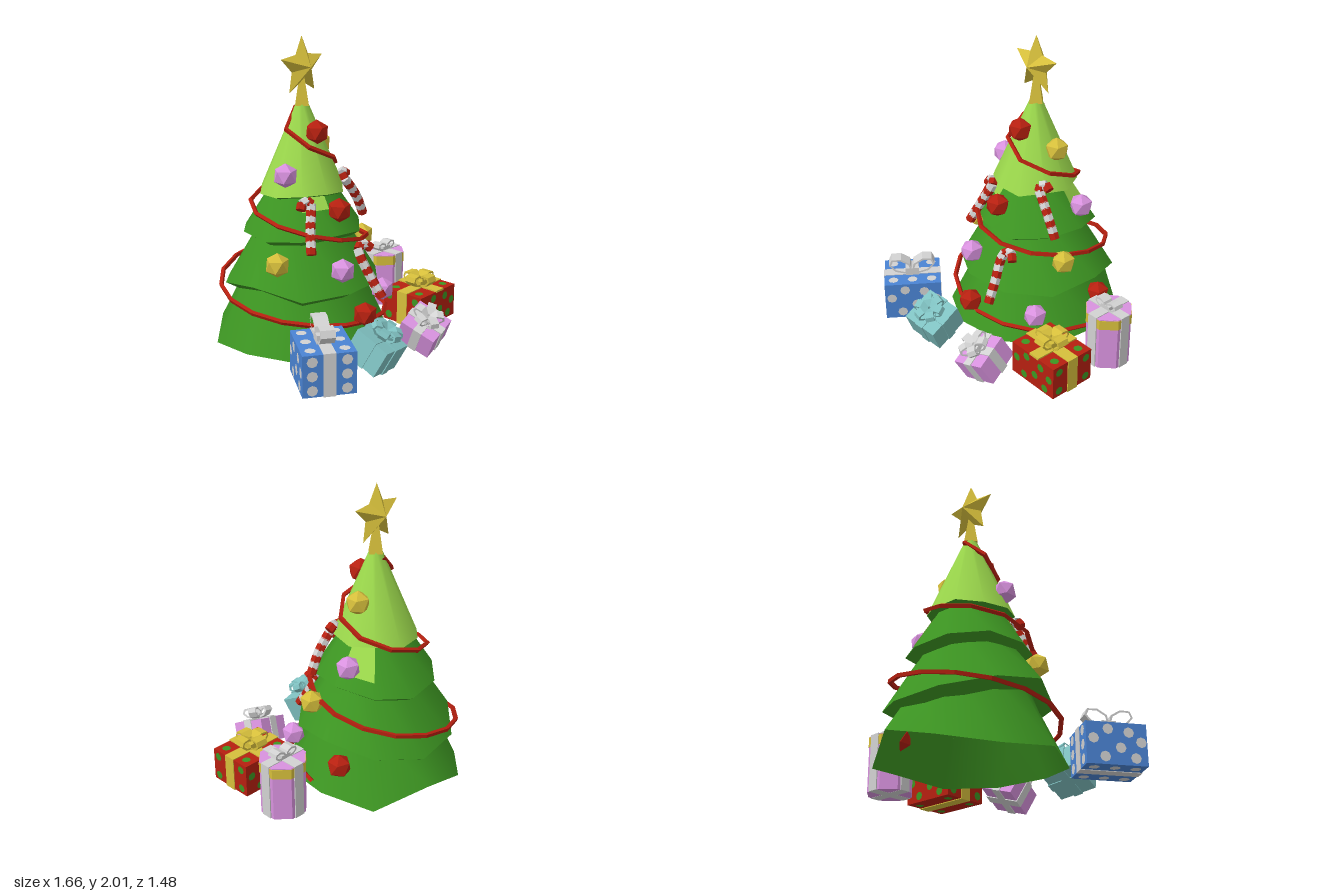
import * as THREE from 'three';
import { mergeVertices } from 'three/addons/utils/BufferGeometryUtils.js';

const V = (x, y, z) => new THREE.Vector3(x, y, z);
const mat = (name, color, opts = {}) => {
  const m = new THREE.MeshStandardMaterial({ color, ...opts });
  m.name = name;
  return m;
};

export function createModel() {
  const flat = { flatShading: true };
  const green = mat('green', 0x3d9622, { side: THREE.DoubleSide });
  const lime = mat('lightGreen', 0x9cd94c, { side: THREE.DoubleSide });
  const red = mat('red', 0xb62010, flat);
  const gold = mat('gold', 0xd5be3b, flat);
  const pink = mat('pink', 0xd892de, flat);
  const teal = mat('teal', 0x80c2c2, flat);
  const blue = mat('blue', 0x4a84d4, flat);
  const white = mat('paleGrey', 0xd2d2d2, flat);

  const model = new THREE.Group();
  const add = (parent, name, geo, material, x = 0, y = 0, z = 0) => {
    const m = new THREE.Mesh(geo, material);
    m.name = name;
    m.position.set(x, y, z);
    parent.add(m);
    return m;
  };
  const group = (name, x, y, z, rx = 0, ry = 0, rz = 0) => {
    const g = new THREE.Group();
    g.name = name;
    g.position.set(x, y, z);
    g.rotation.set(rx, ry, rz);
    model.add(g);
    return g;
  };
  const box = (w, h, d) => new THREE.BoxGeometry(w, h, d);

  // Tree: tiered ten-sided skirts; "jag" lists the rim height at each corner
  const tree = group('tree', -0.075, 0, -0.18);
  const skirt = (tier, profile, segs = 10, start = 0) => {
    const step = Math.PI / 5, spin = 0.19;
    const geo = new THREE.LatheGeometry(profile.map(p => new THREE.Vector2(...p)), segs, start * step - spin, segs * step);
    geo.deleteAttribute('uv');
    geo.deleteAttribute('normal');
    const p = geo.attributes.position;
    for (let i = 0; i < p.count; i++) {
      const x = p.getX(i), y = p.getY(i), z = p.getZ(i), a = Math.atan2(x, z);
      const w = Math.min(1, (tier.top[1] - y) / (tier.top[1] - tier.rim[1]));
      const k = 1 + 0.025 * w * Math.cos(a - tier.bulge);
      const corner = (Math.round((a + spin) / step) + 10) % 10;
      p.setXYZ(i, x * k, y + w * (tier.jag[corner] - tier.rim[1]), z * k);
    }
    const merged = mergeVertices(geo, 1e-4);
    merged.computeVertexNormals();
    return merged;
  };
  const tiers = [
    { top: [0.36, 0.52], rim: [0.575, 0.09], bulge: 4.4, jag: [0.1, 0.1, 0.09, 0.12, 0.06, 0.18, 0.08, 0.03, 0.08, 0.06] },
    { top: [0.27, 0.82], rim: [0.515, 0.44], under: [0.43, 0.39], bulge: 3.1,
      jag: [0.45, 0.44, 0.43, 0.48, 0.41, 0.36, 0.38, 0.44, 0.5, 0.43] },
    { top: [0.19, 1.08], rim: [0.39, 0.78], under: [0.31, 0.73], bulge: 3.1,
      jag: [0.8, 0.77, 0.79, 0.8, 0.76, 0.73, 0.75, 0.77, 0.76, 0.78] },
    { top: [0.035, 1.59], rim: [0.275, 1.03], under: [0.2, 1.0], bulge: 4.4,
      jag: [1.04, 1.02, 1.05, 1.03, 1.05, 1.02, 1.03, 1.01, 1.02, 1.04] },
  ];
  tiers.forEach((t, i) => {
    add(tree, 'tier' + (i + 1), skirt(t, [t.rim, t.top]), i === 3 ? lime : green);
    if (t.under) add(tree, 'tierUnderside' + (i + 1), skirt(t, [t.under, t.rim]), green);
  });
  // Light patches on the third tier
  [[3, 0.86], [9, 0.94]].forEach(([start, y]) => {
    const t = tiers[2], f = (t.top[1] - y) / (t.top[1] - t.rim[1]);
    const r = t.top[0] + f * (t.rim[0] - t.top[0]);
    add(tree, 'lightPatch', skirt(t, [[r + 0.005, y], [t.top[0] + 0.005, t.top[1]]], 1, start), lime);
  });

  // Star: two five-armed pyramids back to back, on a tapered foot
  const rim = [];
  for (let i = 0; i < 10; i++) {
    const r = i % 2 ? 0.094 : 0.192, a = (i * Math.PI) / 5;
    rim.push(V(Math.sin(a) * r, Math.cos(a) * r, 0));
  }
  const pts = [];
  rim.forEach((p, i) => {
    const q = rim[(i + 1) % 10];
    pts.push(V(0, 0, 0.08), q, p, V(0, 0, -0.08), p, q);
  });
  const starGeo = new THREE.BufferGeometry().setFromPoints(pts);
  starGeo.computeVertexNormals();
  add(tree, 'star', starGeo, gold, 0, 1.808, 0);
  add(tree, 'starFoot', new THREE.CylinderGeometry(0.02, 0.06, 0.19, 4), gold, 0, 1.66, 0);

  // Garland: [quarter turn from the front, radius, height]
  const spiral = [[-2, 0.06, 1.55], [-1, 0.14, 1.42], [0, 0.2, 1.28], [1, 0.25, 1.14], [2, 0.31, 1.0], [3, 0.36, 0.9],
    [4, 0.41, 0.76], [5, 0.43, 0.65], [6, 0.52, 0.5], [7, 0.55, 0.36], [8, 0.54, 0.25], [9, 0.56, 0.17]];
  const spline = new THREE.CatmullRomCurve3(spiral.map(s => V(...s)));
  const path = spline.getPoints(33).map(s => {
    const a = (s.x * Math.PI) / 2;
    return V(Math.sin(a) * s.y, s.z, Math.cos(a) * s.y);
  });
  add(tree, 'garland', new THREE.TubeGeometry(new THREE.CatmullRomCurve3(path), 32, 0.016, 4), red);

  // Baubles, each with a corner pointing up
  const bauble = new THREE.IcosahedronGeometry(0.08, 0).rotateZ(0.5536);
  [[red, -0.08, 1.41, -0.05], [gold, 0.1, 1.29, -0.2], [pink, -0.3, 1.16, -0.11], [red, -0.08, 0.94, 0.14],
    [pink, 0.26, 0.93, -0.27], [gold, -0.47, 0.64, -0.02], [pink, -0.19, 0.6, 0.27], [gold, 0.35, 0.64, -0.04],
    [red, -0.09, 0.31, 0.37], [pink, 0.32, 0.31, 0.17], [red, 0.39, 0.31, -0.32],
  ].forEach(([m, x, y, z]) => add(model, 'bauble', bauble, m, x, y, z));

  // Candy canes: alternating short cylinders along a hooked path
  const cane = points => {
    const curve = new THREE.CatmullRomCurve3(points.map(p => V(...p)));
    const g = group('candyCane', 0, 0, 0), n = 11, stops = curve.getSpacedPoints(n);
    for (let i = 0; i < n; i++) {
      const a = stops[i], b = stops[i + 1], d = b.clone().sub(a);
      const m = add(g, 'stripe', new THREE.CylinderGeometry(0.032, 0.032, d.length() + 0.006, 6), i % 2 ? white : red);
      m.position.copy(a).add(b).multiplyScalar(0.5);
      m.quaternion.setFromUnitVectors(V(0, 1, 0), d.normalize());
    }
  };
  cane([[-0.35, 0.72, 0.155], [-0.3, 0.85, 0.1], [-0.25, 0.96, 0.06], [-0.24, 1.01, 0.04], [-0.28, 1.01, 0.02], [-0.31, 0.97, 0.03]]);
  cane([[0.31, 0.81, 0], [0.25, 0.93, 0], [0.18, 1.03, -0.01], [0.135, 1.09, -0.02], [0.16, 1.115, -0.05], [0.2, 1.09, -0.05]]);
  cane([[0.085, 0.37, 0.36], [0.06, 0.5, 0.28], [0.04, 0.63, 0.21], [0.06, 0.675, 0.18], [0.115, 0.68, 0.19], [0.145, 0.65, 0.21]]);

  // Bow: ring-shaped ribbon loops around a knot
  const bow = (parent, y, m, loops, rx, ry, width, lean = 0.35, turn = 0) => {
    const ring = k => Array.from({ length: 7 }, (_, i) => {
      const a = (i / 7) * Math.PI * 2;
      return new THREE.Vector2(rx - Math.cos(a) * (rx - k), Math.sin(a) * (ry - k));
    });
    const shape = new THREE.Shape(ring(0));
    shape.holes.push(new THREE.Path(ring(0.014)));
    const geo = new THREE.ExtrudeGeometry(shape, { depth: width, bevelEnabled: false }).translate(0, 0, -width / 2);
    for (let i = 0; i < loops; i++) {
      const loop = add(parent, 'bowLoop', geo, m, 0, y + ry * 0.7, 0);
      loop.rotation.set(0, turn + (i * Math.PI * 2) / loops, lean, 'YXZ');
    }
    add(parent, 'bowKnot', box(width, ry, width), m, 0, y + ry * 0.5, 0);
  };

  // Dots: thin discs on all six sides
  const dots = (parent, w, h, d, m, r, side, end, top) => {
    const face = (list, fw, fh, rot, off) => {
      const f = new THREE.Group();
      f.name = 'dots';
      f.rotation.set(...rot);
      parent.add(f);
      list.forEach(([u, v]) => add(f, 'dot', new THREE.CircleGeometry(r, 8), m, u * fw, v * fh, off + 0.003));
    };
    face(side, w, h, [0, 0, 0], d / 2);
    face(side, w, h, [0, Math.PI, 0], d / 2);
    face(end, d, h, [0, Math.PI / 2, 0], w / 2);
    face(end, d, h, [0, -Math.PI / 2, 0], w / 2);
    face(top, w, d, [-Math.PI / 2, 0, 0], h / 2);
    face(top, w, d, [Math.PI / 2, 0, 0], h / 2);
  };
  const columns = [-0.32, 0.32].flatMap(u => [-0.34, 0, 0.34].map(v => [u, v]));
  const corners = [-0.35, 0.35].flatMap(u => [-0.31, 0.31].map(v => [u, v]));
  const scattered = [[-0.38, 0.1], [-0.14, 0.33], [-0.2, -0.32], [0.06, -0.1], [0.2, 0.27], [0.4, 0.05], [0.3, -0.33]];

  // Blue gift
  const blueGift = group('blueGift', -0.595, 0.2, 0.475, 0, -0.606, 0);
  add(blueGift, 'box', box(0.32, 0.26, 0.375), blue);
  add(blueGift, 'ribbon', box(0.075, 0.268, 0.383), white);
  dots(blueGift, 0.32, 0.26, 0.375, white, 0.033, columns, scattered, columns);
  bow(blueGift, 0.13, white, 2, 0.083, 0.052, 0.09, 0.42, Math.PI / 2);

  // Red gift
  const redGift = group('redGift', 0.592, 0.17, 0.275);
  add(redGift, 'box', box(0.375, 0.22, 0.315), red);
  add(redGift, 'ribbon', box(0.385, 0.23, 0.08), gold);
  add(redGift, 'topRibbon', box(0.08, 0.014, 0.322), gold, 0.015, 0.112, 0);
  dots(redGift, 0.375, 0.22, 0.315, green, 0.028, scattered, corners, corners);
  bow(redGift, 0.115, gold, 4, 0.058, 0.04, 0.08, 0.35);

  // Tilted small gifts with ribbons both ways
  const small = (name, m, ribbon, w, h, d, loops, at) => {
    const g = group(name, ...at);
    add(g, 'box', box(w, h, d), m);
    add(g, 'ribbon', box(0.06, h + 0.012, d + 0.012), ribbon);
    add(g, 'crossRibbon', box(w + 0.012, h + 0.012, 0.06), ribbon);
    bow(g, h / 2, ribbon, loops, 0.055, 0.036, 0.055, 0.4, 0.3);
  };
  small('tealGift', teal, teal, 0.25, 0.18, 0.24, 6, [-0.22, 0.18, 0.57, 0.45, 0.07, -0.2]);
  small('pinkGift', pink, white, 0.24, 0.16, 0.24, 5, [0.275, 0.145, 0.555, 0.42, 0.23, 0.22]);

  // Tall octagonal gift
  const tall = group('tallGift', 0.683, 0.06, -0.125);
  const octagon = (r, h) => new THREE.CylinderGeometry(r, r, h, 8).rotateY(Math.PI / 8);
  add(tall, 'box', octagon(0.15, 0.366), pink, 0, 0.183, 0);
  add(tall, 'goldBand', octagon(0.154, 0.065), gold, 0, 0.328, 0);
  add(tall, 'lidTop', octagon(0.152, 0.006), pink, 0, 0.362, 0);
  add(tall, 'ribbon', box(0.07, 0.372, 0.292), white, 0, 0.185, 0);
  add(tall, 'crossRibbon', box(0.292, 0.372, 0.07), white, 0, 0.185, 0);
  bow(tall, 0.368, white, 2, 0.045, 0.03, 0.07, 0.25);

  return model;
}
